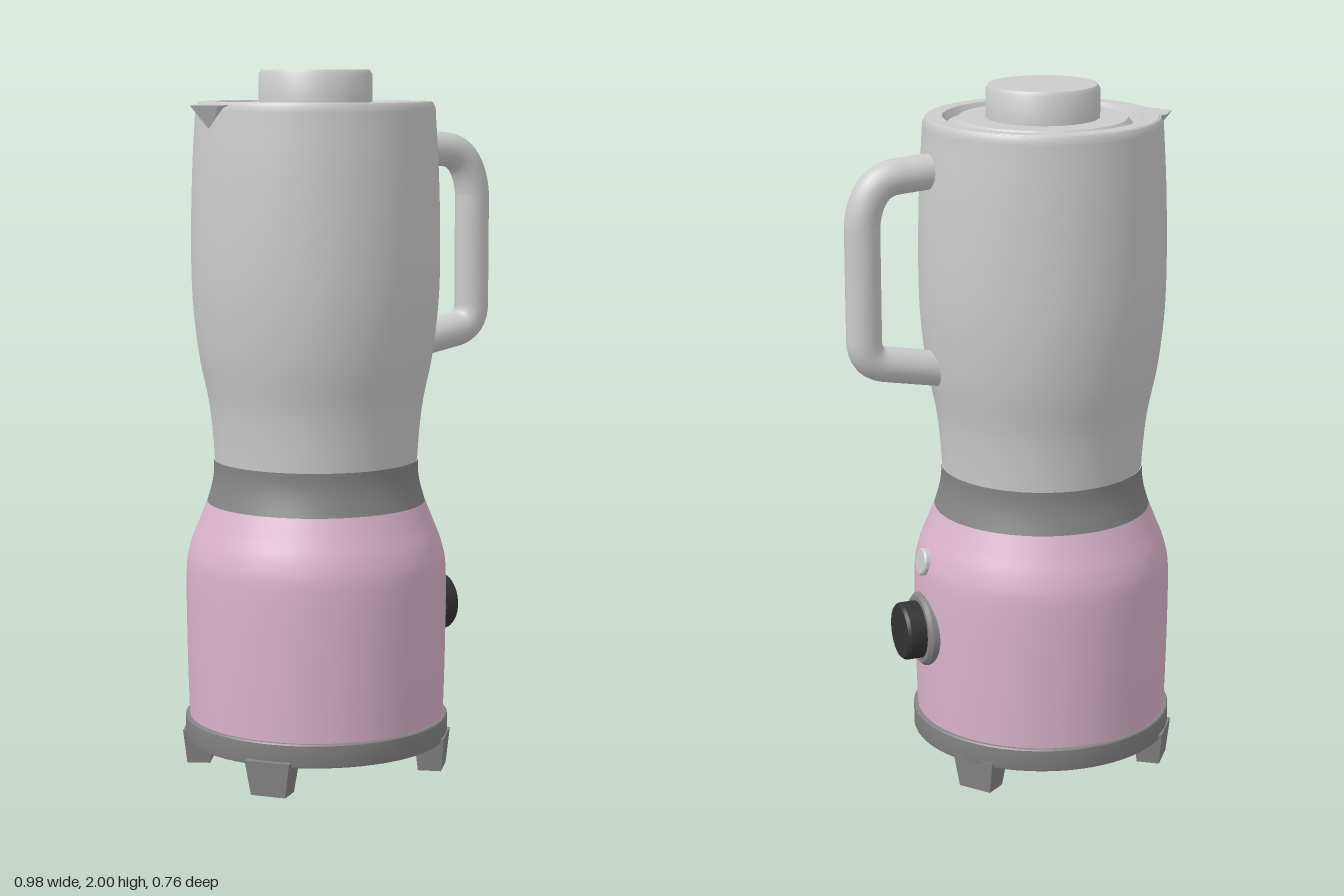
import * as THREE from 'three';
import { toCreasedNormals } from 'three/addons/utils/BufferGeometryUtils.js';
import { ConvexGeometry } from 'three/addons/geometries/ConvexGeometry.js';

const mat = (color) => new THREE.MeshStandardMaterial({ color });
const grey = mat(0xcccccc);
const trim = mat(0x858585);
const pink = mat(0xd9b3c9);
const dark = mat(0x333333);

export function createModel() {
  const model = new THREE.Group();
  const body = new THREE.Group();
  body.name = 'blender';
  body.position.x = -0.1; // the handle side reaches further out than the spout
  model.add(body);

  const add = (name, geometry, material) => {
    const mesh = new THREE.Mesh(geometry, material);
    mesh.name = name;
    body.add(mesh);
    return mesh;
  };
  // Revolved part from [radius, height] pairs, listed from bottom to top
  const lathe = (points, segments = 64) => toCreasedNormals(
    new THREE.LatheGeometry(points.map(([r, y]) => new THREE.Vector2(r, y)), segments), 0.6);
  // Smooth profile through a few [radius, height] pairs
  const smooth = (points, n) => new THREE.SplineCurve(points.map(([r, y]) => new THREE.Vector2(r, y)))
    .getPoints(n).map((p) => [p.x, p.y]);

  // Base plate and its dark underside
  add('baseRing', lathe([[0.36, 0.085], [0.378, 0.085], [0.38, 0.09], [0.38, 0.148], [0.377, 0.152], [0.36, 0.152]]), trim);
  const under = add('underside', new THREE.CircleGeometry(0.365, 64), dark);
  under.rotation.x = Math.PI / 2;
  under.position.y = 0.086;

  // Tapered feet
  for (const [x, z] of [[-0.275, 0.22], [-0.275, -0.2], [0.27, -0.2], [0.255, 0.225]]) {
    const g = new THREE.CylinderGeometry(0.085, 0.066, 0.1, 4).toNonIndexed();
    g.rotateY(Math.PI / 4);
    g.scale(0.72, 1, 1.1);
    g.computeVertexNormals();
    const foot = add('foot', g, trim);
    foot.position.set(x, 0.05, z);
    foot.rotation.y = -Math.atan2(z, x);
  }

  // Motor housing and collar
  add('motorHousing', lathe(smooth([[0.368, 0.15], [0.373, 0.35], [0.374, 0.57], [0.362, 0.65], [0.335, 0.72], [0.313, 0.775]], 24)), pink);
  add('collar', lathe(smooth([[0.313, 0.775], [0.3, 0.82], [0.293, 0.86], [0.293, 0.897]], 8)), trim);

  // Jug
  add('jug', lathe([...smooth([[0.29, 0.895], [0.296, 0.98], [0.307, 1.07], [0.333, 1.2], [0.35, 1.36],
    [0.353, 1.53], [0.348, 1.72], [0.34, 1.86], [0.338, 1.895]], 36), [0.33, 1.91], [0.32, 1.91]]), grey);

  // Lid with a stepped groove, and its cap
  add('lid', lathe([[0.335, 1.9], [0.325, 1.912], [0.282, 1.912], [0.27, 1.89], [0.252, 1.89],
    [0.238, 1.908], [0, 1.908]]), grey);
  add('lidCap', lathe([[0.16, 1.9], [0.16, 1.988], [0.152, 2], [0, 2]]), grey);

  // Pouring lip
  const lip = [[-0.31, 1.905, -0.1], [-0.31, 1.905, 0.09], [-0.345, 1.903, -0.075], [-0.345, 1.903, 0.06],
    [-0.392, 1.903, -0.015], [-0.375, 1.887, -0.01], [-0.335, 1.83, 0], [-0.31, 1.83, 0]];
  add('spout', new ConvexGeometry(lip.map((p) => new THREE.Vector3(...p))), grey);

  // Handle: straight runs joined by rounded corners
  const v = (x, y) => new THREE.Vector3(x, y, -0.003);
  const path = new THREE.CurvePath();
  path.add(new THREE.LineCurve3(v(0.31, 1.78), v(0.44, 1.77)));
  path.add(new THREE.QuadraticBezierCurve3(v(0.44, 1.77), v(0.525, 1.76), v(0.538, 1.64)));
  path.add(new THREE.LineCurve3(v(0.538, 1.64), v(0.538, 1.31)));
  path.add(new THREE.QuadraticBezierCurve3(v(0.538, 1.31), v(0.535, 1.25), v(0.48, 1.24)));
  path.add(new THREE.LineCurve3(v(0.48, 1.24), v(0.3, 1.208)));
  add('handle', new THREE.TubeGeometry(path, 64, 0.05, 20), grey);
  // End caps
  for (const [t, turn] of [[0, Math.PI], [1, 0]]) {
    const cap = add('handleEnd', new THREE.CircleGeometry(0.05, 20), grey);
    const dir = path.getTangent(t);
    cap.position.copy(path.getPoint(t));
    cap.lookAt(cap.position.clone().add(turn ? dir.negate() : dir));
  }

  // Speed dial and indicator light, turned to face +x
  const dial = (name, points, y, material) => {
    const mesh = add(name, lathe(points, 40), material);
    mesh.rotation.z = -Math.PI / 2;
    mesh.position.y = y;
    return mesh;
  };
  dial('dialRing', [[0.108, 0.33], [0.108, 0.378], [0.098, 0.388], [0, 0.388]], 0.43, trim);
  dial('dialKnob', [[0.084, 0.38], [0.084, 0.435], [0.077, 0.444], [0, 0.444]], 0.43, dark);
  const light = dial('indicatorLight', [[0.04, -0.025], [0.04, 0.008], [0.036, 0.013], [0, 0.013]], 0.635, grey);
  light.position.x = 0.366;
  light.rotation.z += 0.14;

  return model;
}
